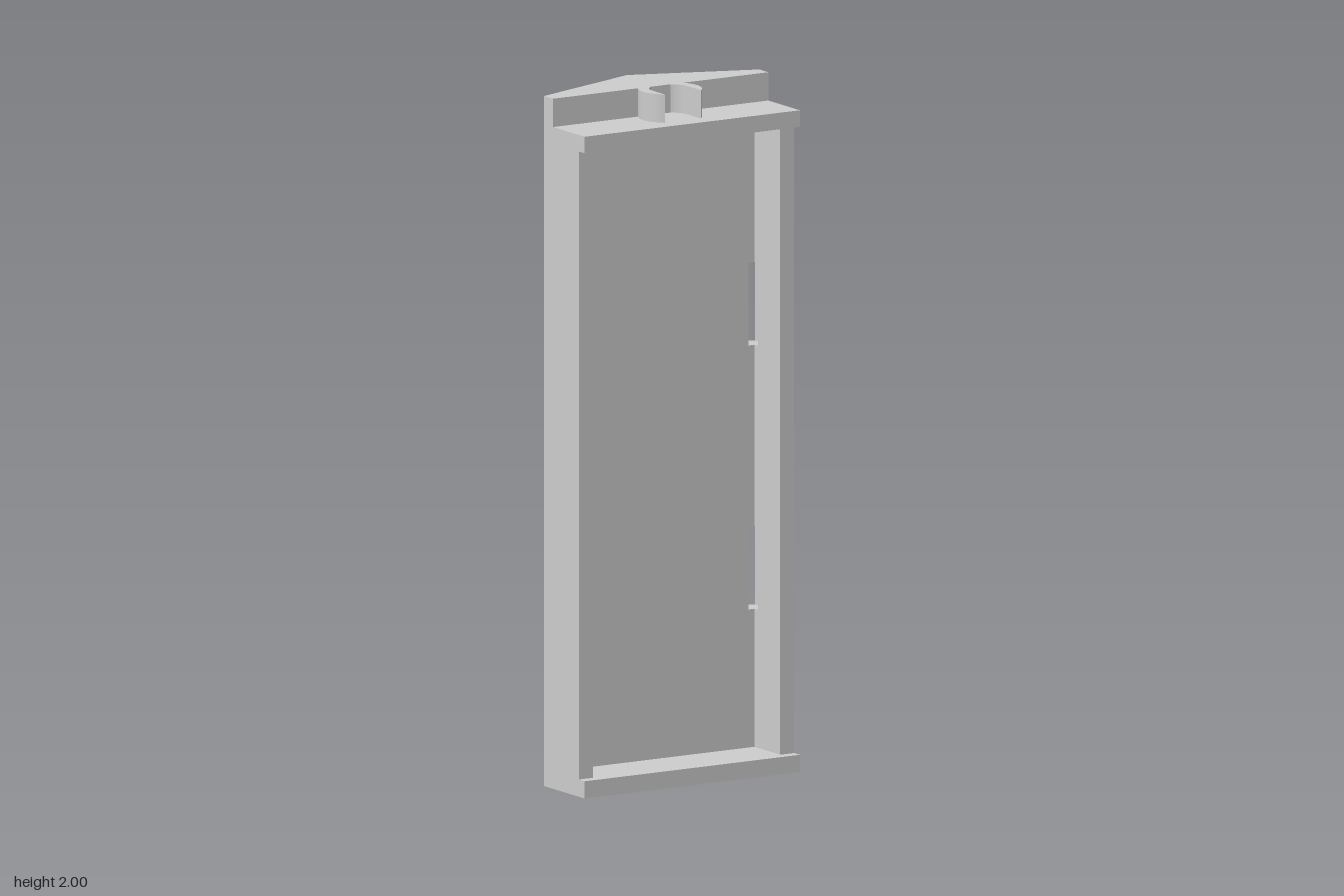
import * as THREE from 'three';

const W = 0.362, INNER = 0.315, POCKET = 0.35; // half widths: outside, inside, slot outer edge
const FLOOR = 0.005, WALL = 0.142, LIP = 0.173; // z levels
const EAVE = -0.043, RIDGE = -0.175;
const H = 2, BASE = 0.05, CAP0 = 1.87, CAP1 = 1.918;
const SLOTS = [[0.45, 0.69], [1.215, 1.455]];
const SLOT_IN = 0.295, NOTCH = 0.025;

const material = new THREE.MeshStandardMaterial({ color: 0xcccccc });

export function createModel() {
  const group = new THREE.Group();

  const add = (name, geometry) => {
    const mesh = new THREE.Mesh(geometry, material);
    mesh.name = name;
    group.add(mesh);
  };
  const box = (name, x0, x1, y0, y1, z0, z1) => add(name,
    new THREE.BoxGeometry(x1 - x0, y1 - y0, z1 - z0)
      .translate((x0 + x1) / 2, (y0 + y1) / 2, (z0 + z1) / 2));
  const polygon = (pts) => pts.map(([x, y]) => new THREE.Vector2(x, y));
  const rect = (x0, x1, y0, y1) => polygon([[x0, y0], [x1, y0], [x1, y1], [x0, y1]]);

  for (const s of [1, -1]) {
    const side = s > 0 ? 'left' : 'right';

    // Half of the gabled back: slotted plate whose rear face is sloped to the ridge
    const plate = new THREE.Shape(rect(0, s * W, 0, H));
    for (const [y0, y1] of SLOTS) {
      plate.holes.push(new THREE.Path(rect(s * SLOT_IN, s * POCKET, y0, y1)));
    }
    const back = new THREE.ExtrudeGeometry(plate, { depth: 1, bevelEnabled: false });
    const p = back.attributes.position;
    for (let i = 0; i < p.count; i++) {
      const rear = RIDGE + (EAVE - RIDGE) * Math.abs(p.getX(i)) / W;
      p.setZ(i, p.getZ(i) > 0.5 ? FLOOR : rear);
    }
    back.computeVertexNormals();
    add(side + 'Back', back);

    // Side wall: inner layer notched where the slots run into it, plus outer skin
    const outline = [[-WALL, BASE], [-FLOOR, BASE]];
    for (const [y0, y1] of SLOTS) {
      outline.push([-FLOOR, y0], [-NOTCH, y0], [-NOTCH, y1], [-FLOOR, y1]);
    }
    outline.push([-FLOOR, CAP0], [-WALL, CAP0]);
    const inner = new THREE.ExtrudeGeometry(new THREE.Shape(polygon(outline)),
      { depth: POCKET - INNER, bevelEnabled: false });
    inner.rotateY(Math.PI / 2).translate(s > 0 ? INNER : -POCKET, 0, 0);
    add(side + 'WallInner', inner);
    box(side + 'WallSkin', s > 0 ? POCKET : -W, s > 0 ? W : -POCKET, BASE, CAP0, FLOOR, WALL);

    // Clip jaw: crescent between two arcs, with a straight inner mouth
    const zc = 0.055, R = 0.091, r = 0.06;
    const jaw = [];
    const a0 = Math.asin((FLOOR - zc) / R), a1 = Math.acos(r / R);
    for (let i = 0; i <= 16; i++) {
      const a = a0 + (a1 - a0) * i / 16;
      jaw.push([s * R * Math.cos(a), -(zc + R * Math.sin(a))]);
    }
    const b1 = Math.asin((FLOOR - zc) / r);
    for (let i = 0; i <= 12; i++) {
      const a = b1 * i / 12;
      jaw.push([s * r * Math.cos(a), -(zc + r * Math.sin(a))]);
    }
    const clip = new THREE.ExtrudeGeometry(new THREE.Shape(polygon(jaw)),
      { depth: H - CAP1, bevelEnabled: false });
    add(side + 'ClipJaw', clip.rotateX(-Math.PI / 2).translate(0, CAP1, 0));
  }

  // End ledges closing the tray
  box('bottomLedge', -W, W, 0, BASE, FLOOR, LIP);
  box('topLedge', -W, W, CAP0, CAP1, FLOOR, LIP);

  return group;
}
